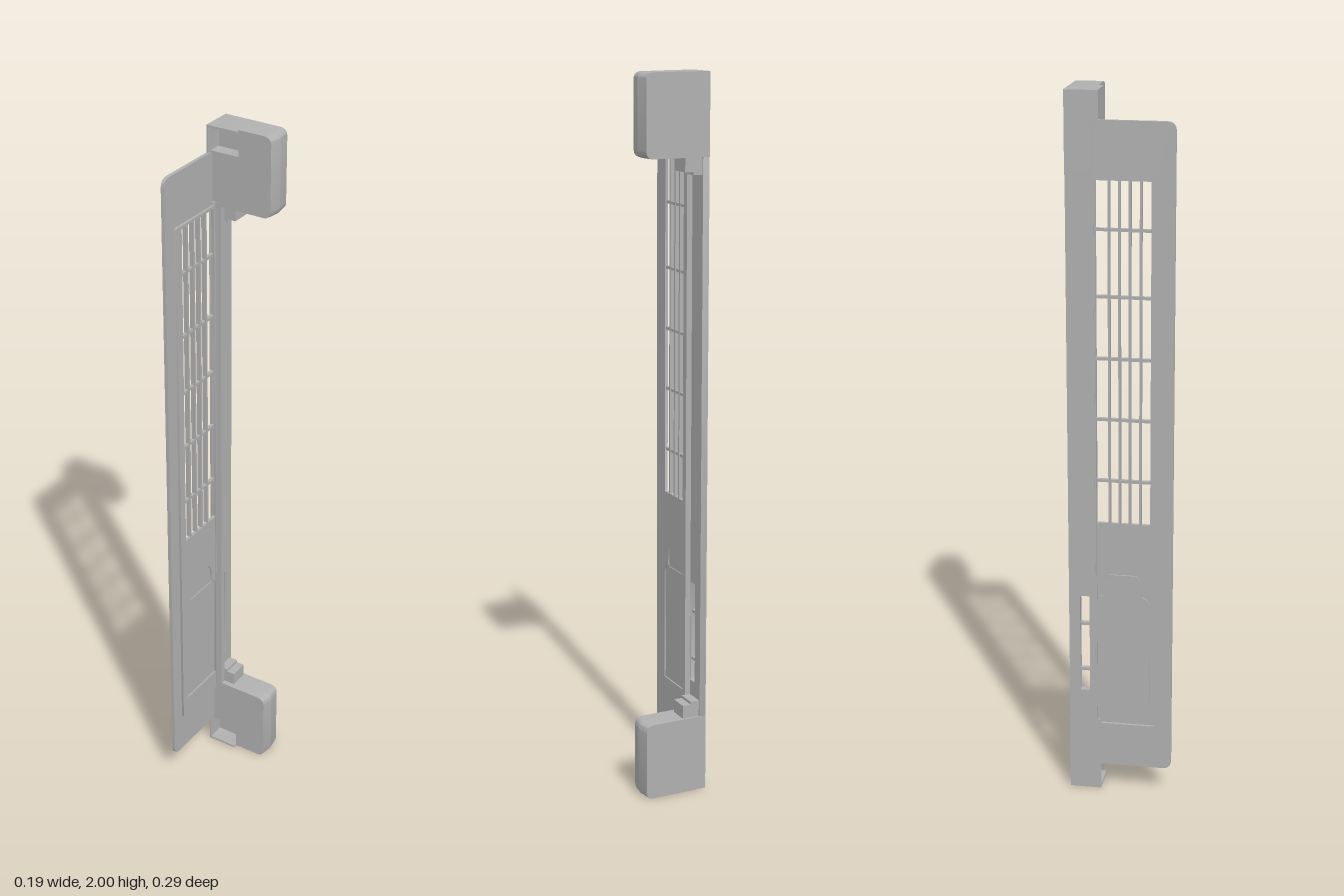
import * as THREE from 'three';
import { toCreasedNormals } from 'three/addons/utils/BufferGeometryUtils.js';

export function createModel() {
  const model = new THREE.Group();
  model.name = 'ventedSidePanel';
  const grey = new THREE.MeshStandardMaterial({ color: 0xb0b0b0 });
  grey.name = 'plastic grey';

  const add = (name, geometry, parent = model) => {
    const mesh = new THREE.Mesh(geometry, grey);
    mesh.name = name;
    parent.add(mesh);
    return mesh;
  };
  const box = (name, x0, x1, y0, y1, z0, z1, parent) =>
    add(name, new THREE.BoxGeometry(x1 - x0, y1 - y0, z1 - z0), parent)
      .position.set((x0 + x1) / 2, (y0 + y1) / 2, (z0 + z1) / 2);

  // Closed outline with rounded corners
  const outline = (target, u0, u1, v0, v1, r) => {
    target.moveTo(u0 + r, v0);
    target.lineTo(u1 - r, v0);
    target.quadraticCurveTo(u1, v0, u1, v0 + r);
    target.lineTo(u1, v1 - r);
    target.quadraticCurveTo(u1, v1, u1 - r, v1);
    target.lineTo(u0 + r, v1);
    target.quadraticCurveTo(u0, v1, u0, v1 - r);
    target.lineTo(u0, v0 + r);
    target.quadraticCurveTo(u0, v0, u0 + r, v0);
    return target;
  };
  const rounded = (...a) => outline(new THREE.Shape(), ...a);
  const hole = (...a) => outline(new THREE.Path(), ...a);

  // Slab drawn in (z, y), spanning x0..x1
  const slab = (name, shape, x0, x1) => {
    const g = new THREE.ExtrudeGeometry(shape, { depth: x1 - x0, bevelEnabled: false, curveSegments: 5 });
    g.rotateY(-Math.PI / 2).translate(x1, 0, 0);
    return add(name, toCreasedNormals(g, 0.6));
  };

  // Outline of the access door with its finger tab
  const doorOutline = (target) => {
    const pts = [[-0.066, 0.26], [0.082, 0.26], [0.082, 0.585], [0.072, 0.6], [0.06, 0.605], [0.058, 0.65],
      [0.046, 0.668], [-0.032, 0.668], [-0.044, 0.65], [-0.046, 0.605], [-0.06, 0.6], [-0.066, 0.59]];
    target.setFromPoints(pts.map(([z, y]) => new THREE.Vector2(z, y)));
    target.closePath();
    return target;
  };

  // Thin outer rim
  const rim = rounded(-0.08, 0.146, 0.08, 1.925, 0.025);
  rim.holes.push(hole(-0.07, 0.1, 0.21, 1.77, 0.006));
  slab('outerRim', rim, -0.096, -0.086);

  // Raised inner panel with grille and door openings
  const panel = rounded(-0.08, 0.106, 0.2, 1.78, 0.006);
  panel.holes.push(hole(-0.066, 0.082, 0.82, 1.772, 0.003));
  panel.holes.push(doorOutline(new THREE.Path()));
  slab('innerPanel', panel, -0.088, -0.079);

  // Recessed door
  slab('accessDoor', doorOutline(new THREE.Shape()), -0.093, -0.083);
  box('doorTabStep', -0.083, -0.08, 0.597, 0.603, -0.045, 0.058);

  // Grille: vertical blades and cross bars
  for (const z of [0.055, 0.026, -0.002, -0.03]) {
    box('grilleBlade', -0.093, -0.08, 0.82, 1.772, z - 0.003, z + 0.003);
  }
  for (const y of [0.945, 1.12, 1.29, 1.46, 1.64]) {
    box('grilleBar', -0.092, -0.082, y - 0.004, y + 0.004, -0.066, 0.082);
  }

  // Rear column with a slot, and its stiffening ridge
  const column = rounded(-0.145, -0.066, 0.21, 1.79, 0.002);
  column.holes.push(hole(-0.114, -0.087, 0.31, 0.6, 0.002));
  slab('rearColumn', column, -0.095, -0.076);
  box('columnRidge', -0.078, -0.06, 0.21, 1.79, -0.085, -0.069);
  for (const y of [0.375, 0.515]) box('slotBar', -0.093, -0.08, y - 0.004, y + 0.004, -0.114, -0.087);

  // Half of an end block, its free end swelling toward the middle seam
  const capHalf = (z0, z1, seam, pocket) => {
    const s = new THREE.Shape();
    s.moveTo(-0.095, 1.78);
    s.lineTo(0.07, 1.78);
    s.quadraticCurveTo(0.089, 1.782, 0.089, 1.802);
    s.lineTo(0.089, 1.98);
    s.quadraticCurveTo(0.089, 1.998, 0.07, 2);
    s.lineTo(-0.095, 2);
    s.closePath();
    if (pocket) s.holes.push(hole(-0.09, -0.008, 1.928, 1.994, 0.001));
    const g = new THREE.ExtrudeGeometry(s, { depth: z1 - z0, bevelEnabled: false, curveSegments: 6 });
    g.translate(0, 0, z0);
    const p = g.attributes.position;
    for (let i = 0; i < p.count; i++) {
      if (p.getX(i) > 0.06 && Math.abs(p.getZ(i) - seam) < 1e-4) p.setX(i, p.getX(i) + 0.006);
    }
    return toCreasedNormals(g, 0.5);
  };

  // End blocks, the lower one mirrored from the upper
  for (const end of ['upper', 'lower']) {
    const cap = new THREE.Group();
    cap.name = end + 'EndBlock';
    add('blockRear', capHalf(-0.146, -0.106, -0.106, false), cap);
    add('blockFront', capHalf(-0.106, -0.07, -0.106, true), cap);
    // Lips around the pocket
    box('pocketTopLip', -0.095, -0.006, 1.994, 2, -0.07, -0.057, cap);
    box('pocketSideLip', -0.095, -0.09, 1.78, 2, -0.07, -0.056, cap);
    // Stepped bracket beside the column
    box('bracket', -0.08, -0.026, 1.742, 1.782, -0.14, -0.085, cap);
    box('bracketFoot', -0.08, -0.05, 1.734, 1.744, -0.14, -0.085, cap);
    if (end === 'lower') {
      cap.scale.y = -1;
      cap.position.y = 2;
    }
    model.add(cap);
  }
  return model;
}
